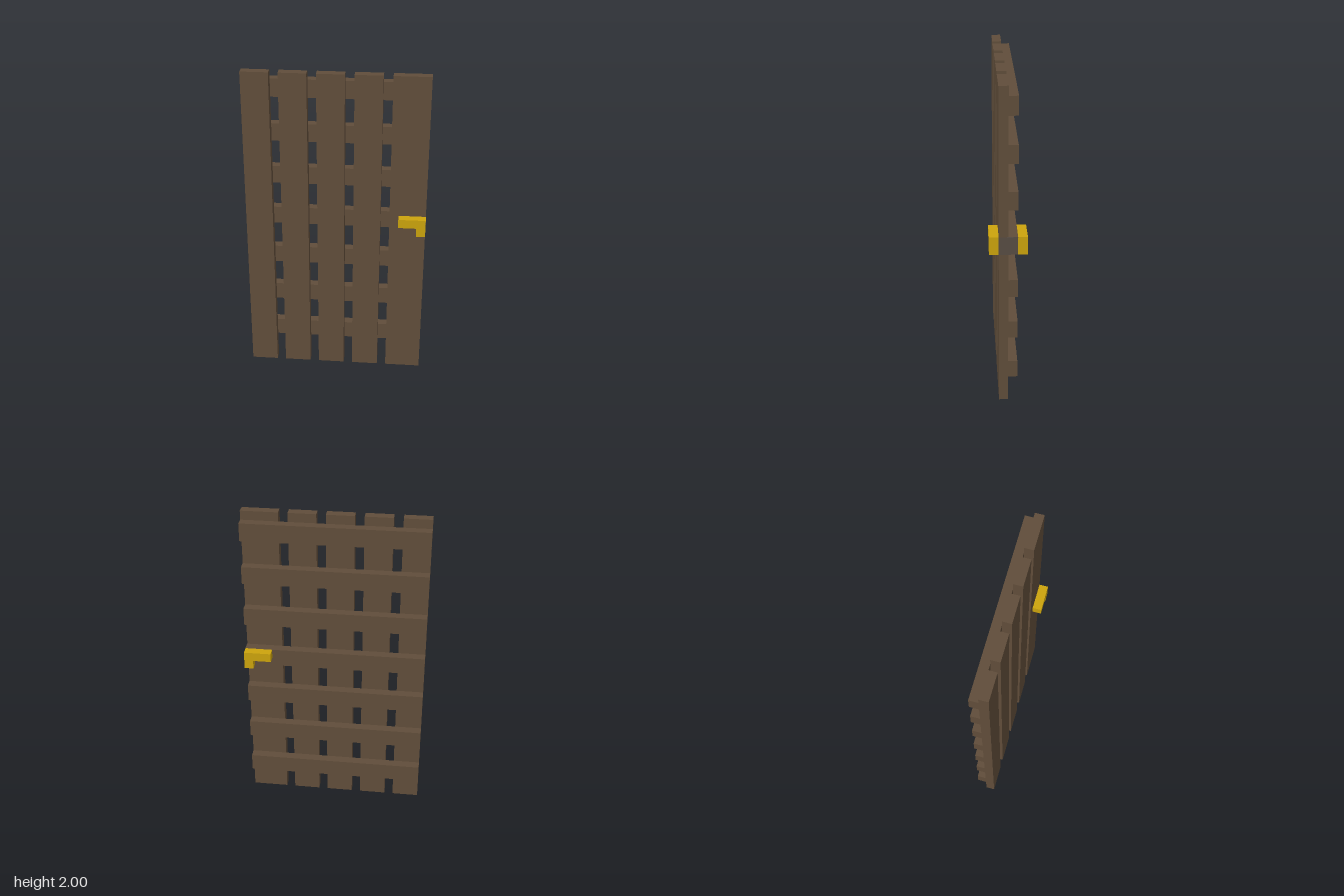
import * as THREE from 'three';

const U = 1 / 18; // the door is laid out on a grid 36 units tall

export function createModel() {
  const model = new THREE.Group();
  model.name = 'plankDoor';

  const material = (name, color) => {
    const m = new THREE.MeshStandardMaterial({ color });
    m.name = name;
    return m;
  };
  const wood = material('brown wood', 0x604d3a);
  const gold = material('gold', 0xcba30c);
  const latchMetal = material('dark latch', 0x574c43);

  // Box given by its low and high corners in grid units
  const box = (name, mat, [x0, y0, z0], [x1, y1, z1]) => {
    const mesh = new THREE.Mesh(
      new THREE.BoxGeometry((x1 - x0) * U, (y1 - y0) * U, (z1 - z0) * U), mat);
    mesh.position.set((x0 + x1) / 2 * U, (y0 + y1) / 2 * U, (z0 + z1) / 2 * U);
    mesh.name = name;
    model.add(mesh);
  };

  // Upright planks on the front, the last one wider
  [[-10, -7], [-6, -3], [-2, 1], [2, 5], [6, 10]].forEach(([a, b], i) =>
    box(`plank${i + 1}`, wood, [a, 0, 0], [b, 36, 1]));

  // Seven cross slats on the back
  for (let i = 0; i < 7; i++) {
    const y = 3 + i * 5;
    box(`slat${i + 1}`, wood, [-10, y, -1], [10, y + 2, 0]);
  }

  // Latch plate set in the door edge
  box('latchPlate', latchMetal, [9.95, 18, -1], [10.03, 20, 1]);

  // L-shaped handles on both faces
  const profile = new THREE.Shape(
    [[7, 19], [9, 19], [9, 18], [10, 18], [10, 20], [7, 20]]
      .map(([x, y]) => new THREE.Vector2(x * U, y * U)));
  const handleGeometry = new THREE.ExtrudeGeometry(profile, { depth: U, bevelEnabled: false });
  [['frontHandle', 1], ['backHandle', -2]].forEach(([name, z]) => {
    const handle = new THREE.Mesh(handleGeometry, gold);
    handle.name = name;
    handle.position.z = z * U;
    model.add(handle);
  });

  return model;
}
